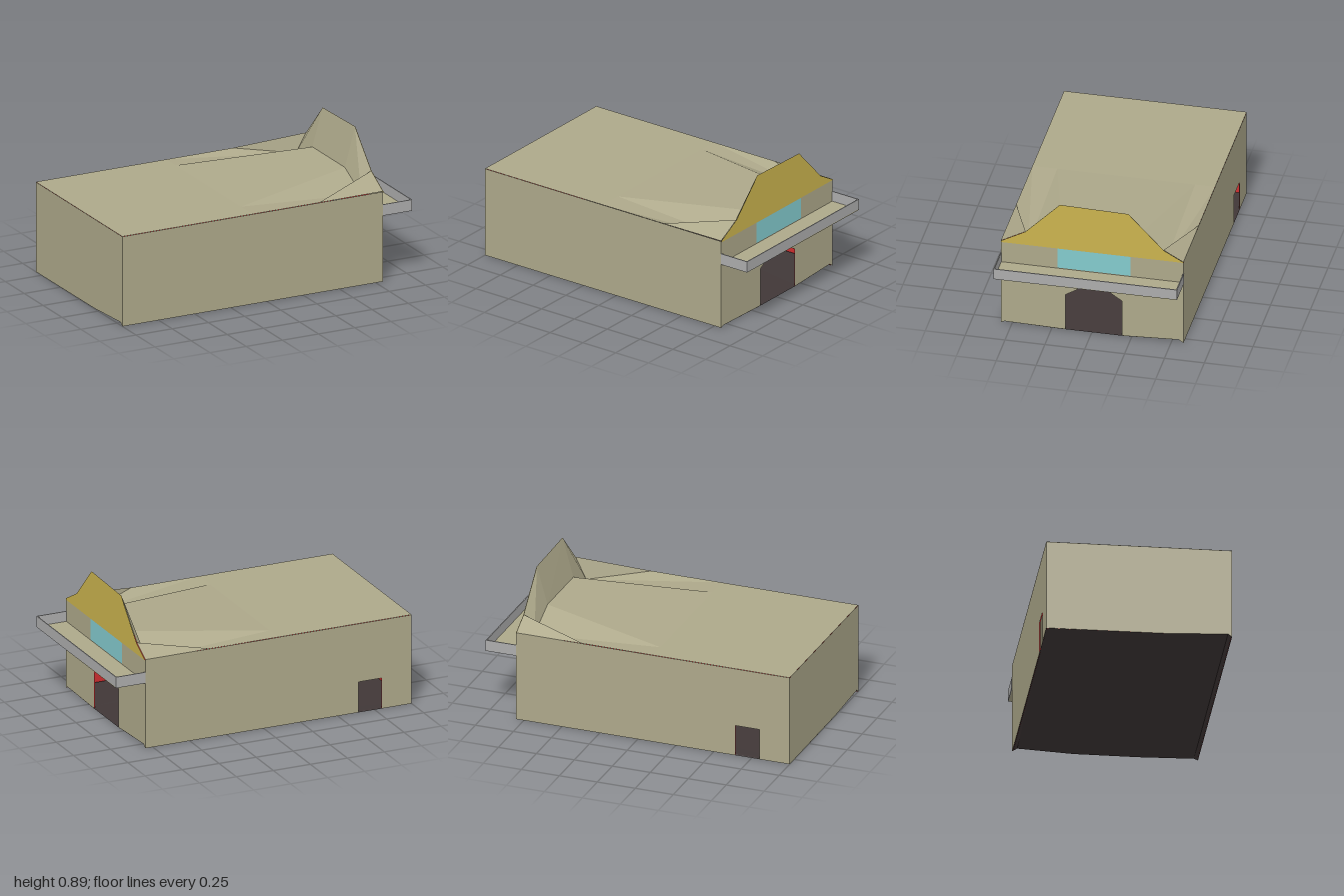
import * as THREE from 'three';

const mat = (name, color) => new THREE.MeshStandardMaterial({ name, color, side: THREE.DoubleSide });

// Faceted surface from rows of points (x rising per row, z falling along each row)
function loft(rows) {
  const pos = [];
  const tri = (...pts) => pts.forEach((p) => pos.push(...p));
  for (let r = 0; r + 1 < rows.length; r++) {
    const n = rows[r].length;
    for (let c = 0; c + 1 < n; c++) {
      const a = rows[r][c], b = rows[r + 1][c], d = rows[r][c + 1], e = rows[r + 1][c + 1];
      if (c < n / 2 - 1) { tri(a, b, e); tri(a, e, d); } // mirrored diagonals
      else { tri(a, b, d); tri(b, e, d); }
    }
  }
  const g = new THREE.BufferGeometry();
  g.setAttribute('position', new THREE.Float32BufferAttribute(pos, 3));
  g.computeVertexNormals();
  return g;
}

function flat(points, hole) {
  const v = (list) => list.map(([x, y]) => new THREE.Vector2(x, y));
  const s = new THREE.Shape(v(points));
  if (hole) s.holes.push(new THREE.Path(v(hole)));
  return new THREE.ShapeGeometry(s);
}

export function createModel() {
  const group = new THREE.Group();
  const stone = mat('stone', 0xada88a);
  const red = mat('red interior', 0xcd2d2f);
  const dark = mat('dark floor', 0x403737);
  const yellow = mat('yellow gable', 0xcab34e);
  const glass = mat('blue glass', 0x83cacd);
  const grey = mat('grey rim', 0xacacac);

  const add = (name, geo, material, x = 0, y = 0, z = 0) => {
    const m = new THREE.Mesh(geo, material);
    m.name = name;
    m.position.set(x, y, z);
    group.add(m);
    return m;
  };
  // Plate in the z-y plane at a given x
  const endPlate = (name, geo, material, x) => {
    add(name, geo, material, x).rotation.y = -Math.PI / 2;
  };

  const L = -1, R = 0.8, F = 0.57, B = -0.575, H = 0.582;

  // Slightly warped floor
  const floorZ = [F, 0.545, 0.2, -0.2, -0.545, B];
  const floorRow = (x, ys) => floorZ.map((z, i) => [x, ys[i], z]);
  const endY = [0, 0.02, 0.003, 0.001, 0.001, 0];
  const entranceY = [0, 0.01, 0.002, 0.002, 0.02, 0];
  add('floor', loft([floorRow(L, endY), floorRow(R, entranceY)]), dark);

  // Entrance wall with a pointed doorway cut up from its lower edge
  const doorway = [[-0.19, 0.003], [-0.19, 0.25], [-0.13, 0.29], [-0.01, 0.38],
    [0.1, 0.29], [0.165, 0.25], [0.165, 0.003]];
  const entrance = (top) => flat([[B, 0], [-0.545, 0.02], [-0.2, 0.003], ...doorway,
    [0.2, 0.003], [0.545, 0.01], [F, 0], [F, top], [B, top]]);
  endPlate('entranceWall', entrance(0.578), stone, R);
  endPlate('entranceLining', entrance(0.52), red, R - 0.006);

  // Far end wall
  const farEnd = flat([[B, 0], [0.2, 0.003], [0.545, 0.02], [F, 0], [F, H], [B, H]]);
  endPlate('farWall', farEnd, stone, L);
  endPlate('farLining', farEnd, red, L + 0.005);

  // Long walls, the rear one with a small side doorway
  const sideWall = (x0, x1, top, door) => flat(door
    ? [[x0, 0], [-0.8, 0], [-0.8, 0.2], [-0.64, 0.2], [-0.64, 0], [x1, 0], [x1, top], [x0, top]]
    : [[x0, 0], [x1, 0], [x1, top], [x0, top]]);
  for (const [name, z, door, inset] of [['front', F, false, -0.005], ['rear', B, true, 0.005]]) {
    add(name + 'Wall', sideWall(L, R, H, door), stone, 0, 0, z);
    add(name + 'Lining', sideWall(L + 0.005, R - 0.006, 0.575, door), red, 0, 0, z + inset);
  }

  // Roof: flat at the far end, then a rising middle ramp between two troughs,
  // kicking up steeply to the gable
  const roofZ = [F, 0.415, 0.2, -0.23, -0.45, B];
  const gableY = [0.585, 0.67, 0.89, 0.88, 0.65, 0.58];
  const roofRow = (xs, ys) => roofZ.map((z, i) => [xs[i], ys[i], z]);
  const level = Array(6).fill(0.583);
  add('roof', loft([
    roofRow(Array(6).fill(L), level),
    roofRow(Array(6).fill(-0.1), level),
    roofRow([0.36, 0.73, 0.73, 0.73, 0.73, 0.36], [0.583, 0.53, 0.637, 0.637, 0.53, 0.583]),
    roofRow(Array(6).fill(R), gableY),
  ]), stone);

  // Yellow gable and window on the entrance end
  endPlate('gable', flat([[B, 0.576], [F, 0.576], ...roofZ.map((z, i) => [z, gableY[i]])]), yellow, R + 0.002);
  endPlate('window', flat([[-0.245, 0.44], [0.213, 0.44], [0.213, 0.576], [-0.245, 0.576]]), glass, R + 0.003);

  // Canopy tray over the doorway
  const mid = (F + B) / 2, depth = F - B + 0.006;
  add('canopyBase', new THREE.BoxGeometry(0.2, 0.006, depth - 0.01), stone, 0.9, 0.431, mid);
  add('canopyFrontRim', new THREE.BoxGeometry(0.006, 0.072, depth), grey, 0.997, 0.464, mid);
  for (const s of [1, -1]) {
    add('canopySideRim', new THREE.BoxGeometry(0.2, 0.072, 0.006), grey, 0.9, 0.464, mid + s * (depth / 2 - 0.003));
  }
  return group;
}
